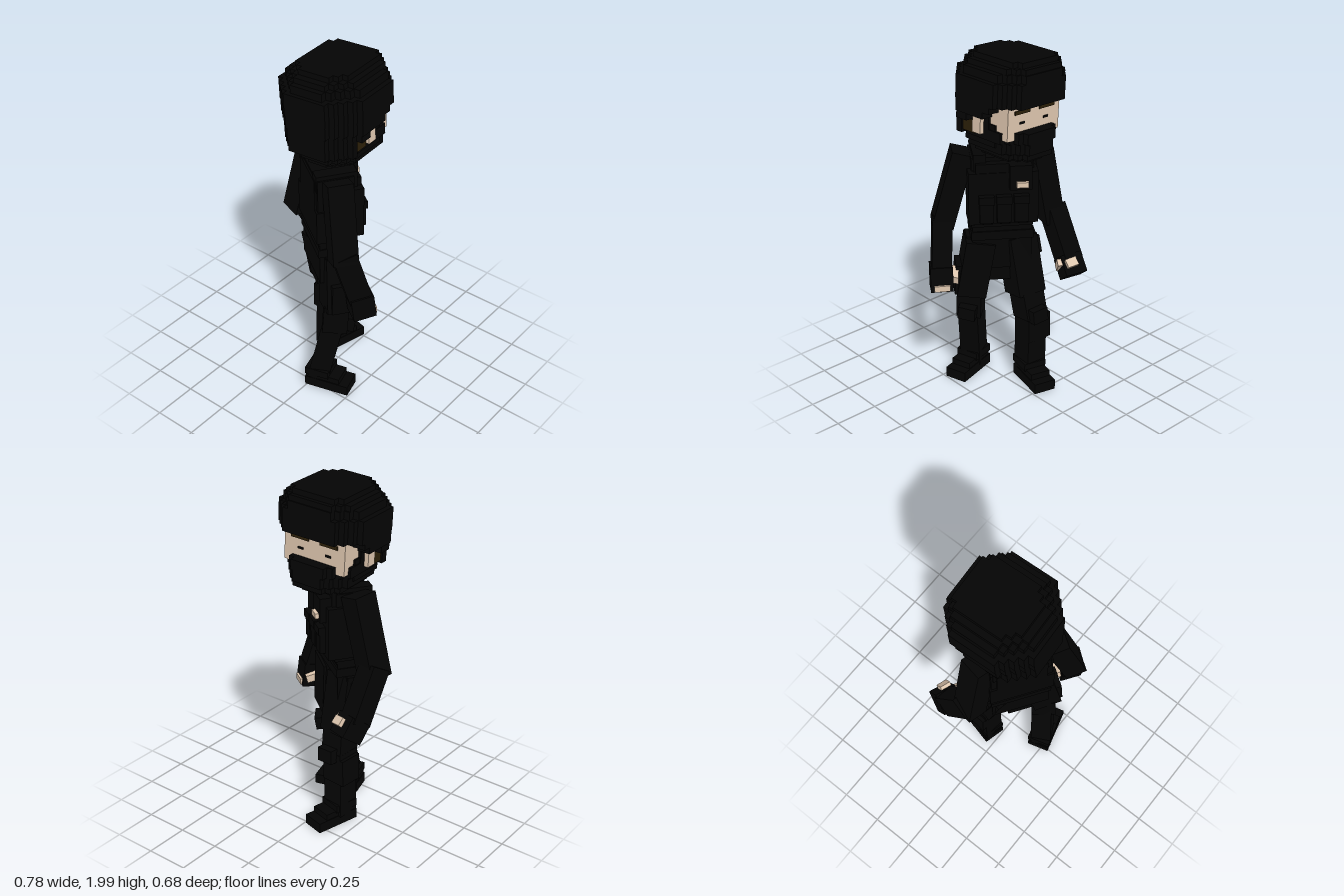
import * as THREE from 'three';

export function createModel() {
  const mat = (name, color) => Object.assign(new THREE.MeshStandardMaterial({ color }), { name });
  const black = mat('black cloth', 0x040404);
  const skin = mat('skin', 0xe0c8b0);
  const brown = mat('brown hair', 0x2c2008);
  const model = new THREE.Group();
  model.name = 'armouredGuard';

  const group = (name, x, z, yaw = 0) => {
    const g = new THREE.Group();
    g.name = name;
    g.position.set(x, 0, z);
    g.rotation.y = yaw;
    model.add(g);
    return g;
  };

  // box from its min and max corners
  const box = (parent, name, m, x0, x1, y0, y1, z0, z1) => {
    const mesh = new THREE.Mesh(new THREE.BoxGeometry(x1 - x0, y1 - y0, z1 - z0), m);
    mesh.position.set((x0 + x1) / 2, (y0 + y1) / 2, (z0 + z1) / 2);
    mesh.name = name;
    parent.add(mesh);
  };

  // horizontal layer whose plan has stair-stepped corners
  const slab = (parent, name, m, hw, z0, z1, y0, y1, front, back, s = 0.034) => {
    const right = [];
    for (let i = front; i >= 0; i--) {
      if (i < front) right.push([hw - (i + 1) * s, -(z0 + (front - i) * s)]);
      right.push([hw - i * s, -(z0 + (front - i) * s)]);
    }
    for (let i = 0; i <= back; i++) {
      right.push([hw - i * s, -(z1 - (back - i) * s)]);
      if (i < back) right.push([hw - (i + 1) * s, -(z1 - (back - i) * s)]);
    }
    const points = [...right, ...right.slice().reverse().map(([x, y]) => [-x, y])];
    const shape = new THREE.Shape(points.map(([x, y]) => new THREE.Vector2(x, y)));
    const mesh = new THREE.Mesh(
      new THREE.ExtrudeGeometry(shape, { depth: y1 - y0, bevelEnabled: false }), m);
    mesh.rotation.x = -Math.PI / 2;
    mesh.position.y = y0;
    mesh.name = name;
    parent.add(mesh);
  };

  // box limb running between two joints, turned about its length
  const limb = (name, a, b, w, d, yaw, m = black) => {
    const A = new THREE.Vector3(...a), B = new THREE.Vector3(...b);
    const y = A.clone().sub(B), len = y.length();
    y.normalize();
    const x = new THREE.Vector3(Math.cos(yaw), 0, -Math.sin(yaw));
    x.addScaledVector(y, -x.dot(y)).normalize();
    const z = x.clone().cross(y);
    const mesh = new THREE.Mesh(new THREE.BoxGeometry(w, len, d), m);
    mesh.quaternion.setFromRotationMatrix(new THREE.Matrix4().makeBasis(x, y, z));
    mesh.position.copy(A).add(B).multiplyScalar(0.5);
    mesh.name = name;
    model.add(mesh);
  };

  // head, tilted and turned slightly about the neck
  const head = group('head', -0.012, 0, 0.05);
  head.position.y = 1.45;
  head.rotation.z = 0.05;
  const h = new THREE.Group();
  h.name = 'headParts';
  h.position.y = -1.455;
  head.add(h);
  [ // half width, z front, z back, y bottom, y top, front steps, back steps
    [0.165, -0.23, 0.16, 1.965, 1.995, 1, 2],
    [0.2, -0.255, 0.2, 1.935, 1.965, 2, 3],
    [0.235, -0.262, 0.23, 1.89, 1.935, 3, 4],
    [0.265, -0.262, 0.252, 1.76, 1.89, 3, 4],
    [0.262, -0.13, 0.252, 1.725, 1.76, 0, 4],
    [0.262, -0.085, 0.252, 1.69, 1.725, 0, 4],
    [0.255, 0.04, 0.252, 1.65, 1.69, 0, 4],
    [0.22, 0.11, 0.252, 1.56, 1.65, 0, 3],
  ].forEach(([w, a, b, c, d, f, k]) => slab(h, 'helmet', black, w, a, b, c, d, f, k));
  [
    [0.205, -0.075, 0.19, 1.56, 1.7, 0, 3],
    [0.2, -0.12, 0.2, 1.53, 1.65, 0, 3],
    [0.19, -0.265, 0.19, 1.5, 1.58, 3, 3],
    [0.205, -0.265, 0.0, 1.56, 1.62, 3, 0],
    [0.16, -0.255, 0.17, 1.47, 1.5, 2, 3],
    [0.125, -0.22, 0.12, 1.445, 1.47, 2, 2],
  ].forEach(([w, a, b, c, d, f, k]) => slab(h, 'faceMask', black, w, a, b, c, d, f, k));
  box(h, 'face', skin, -0.19, 0.19, 1.58, 1.77, -0.2, 0.1);
  for (const s of [-1, 1]) {
    const side = (name, m, x0, x1, ...r) =>
      box(h, name, m, Math.min(s * x0, s * x1), Math.max(s * x0, s * x1), ...r);
    side('ear', skin, 0.18, 0.23, 1.59, 1.685, -0.04, 0.02);
    side('sideHair', brown, 0.18, 0.21, 1.575, 1.645, 0.02, 0.12);
    side('eyebrow', brown, 0.035, 0.145, 1.717, 1.737, -0.207, -0.199);
    side('eye', black, 0.07, 0.105, 1.66, 1.672, -0.204, -0.199);
  }

  // torso with vest, turned toward the left
  const YAW = -0.6;
  const torso = group('torso', -0.03, 0.06, YAW);
  box(torso, 'neck', skin, -0.09, 0.01, 1.38, 1.47, -0.095, 0.01);
  box(torso, 'chest', black, -0.17, 0.17, 1.0, 1.412, -0.1, 0.1);
  box(torso, 'waist', black, -0.165, 0.165, 0.74, 1.0, -0.09, 0.09);
  box(torso, 'crotch', black, -0.07, 0.07, 0.66, 0.76, -0.08, 0.08);
  box(torso, 'vestFront', black, -0.19, 0.19, 1.04, 1.34, -0.15, 0);
  box(torso, 'vestCollar', black, -0.15, 0.15, 1.34, 1.39, -0.145, -0.09);
  box(torso, 'vestBack', black, -0.14, 0.14, 1.04, 1.4, 0.09, 0.11);
  box(torso, 'vestSides', black, -0.18, 0.18, 1.02, 1.22, -0.11, 0.11);
  box(torso, 'belt', black, -0.172, 0.172, 0.92, 0.97, -0.1, 0.1);
  for (const x of [-0.095, 0, 0.095]) {
    box(torso, 'magazinePouch', black, x - 0.038, x + 0.038, 1.06, 1.2, -0.18, -0.14);
    box(torso, 'pouchFlap', black, x - 0.042, x + 0.042, 1.17, 1.215, -0.188, -0.14);
  }
  box(torso, 'chestPouch', black, -0.15, -0.03, 1.25, 1.39, -0.185, -0.14);
  box(torso, 'chestPatch', skin, -0.13, -0.065, 1.27, 1.3, -0.205, -0.18);
  for (const s of [-1, 1]) {
    box(torso, 'shoulderStrap', black, s * 0.125 - 0.035, s * 0.125 + 0.035, 1.34, 1.435, -0.12, 0.105);
    box(torso, 'hipPouch', black, s * 0.165 - 0.03, s * 0.165 + 0.03, 0.8, 0.92, -0.05, 0.06);
  }

  // left arm, swung back
  limb('leftUpperArm', [0.14, 1.42, 0.18], [0.235, 0.99, 0.25], 0.12, 0.14, YAW);
  limb('leftForearm', [0.232, 1.04, 0.25], [0.295, 0.75, 0.19], 0.11, 0.13, YAW);
  limb('leftGlove', [0.297, 0.775, 0.19], [0.307, 0.635, 0.175], 0.125, 0.13, YAW);
  limb('leftFingers', [0.3, 0.667, 0.107], [0.372, 0.665, 0.157], 0.04, 0.035, 0.97, skin);
  limb('leftThumb', [0.208, 0.725, 0.175], [0.275, 0.7, 0.1], 0.045, 0.045, YAW, skin);

  // right arm, reaching forward
  limb('rightUpperArm', [-0.205, 1.42, -0.05], [-0.315, 0.96, -0.04], 0.12, 0.14, YAW / 3);
  limb('rightForearm', [-0.32, 1.03, -0.05], [-0.31, 0.75, -0.21], 0.11, 0.13, YAW / 3);
  limb('rightGlove', [-0.305, 0.775, -0.2], [-0.29, 0.68, -0.27], 0.125, 0.13, -0.42);
  limb('rightFingers', [-0.26, 0.795, -0.265], [-0.255, 0.76, -0.3], 0.065, 0.025, -0.42, skin);
  limb('rightThumb', [-0.218, 0.775, -0.235], [-0.268, 0.7, -0.17], 0.035, 0.04, -0.42, skin);

  // left leg, turned outward
  limb('leftThigh', [0.08, 0.9, 0.11], [0.12, 0.565, 0.15], 0.165, 0.17, YAW);
  limb('leftKnee', [0.11, 0.59, 0.15], [0.105, 0.42, 0.165], 0.14, 0.14, YAW - 0.3);
  limb('leftShin', [0.105, 0.47, 0.16], [0.035, 0.06, 0.22], 0.12, 0.12, YAW - 0.5);
  limb('leftKneePad', [0.18, 0.5, 0.1], [0.175, 0.42, 0.115], 0.1, 0.05, YAW - 0.4);
  limb('leftThighPouch', [0.165, 0.76, 0.17], [0.17, 0.58, 0.18], 0.07, 0.13, YAW);

  // right leg, straight ahead
  limb('rightThigh', [-0.105, 0.9, 0.01], [-0.11, 0.565, -0.065], 0.17, 0.17, -0.2);
  limb('rightKnee', [-0.11, 0.59, -0.07], [-0.12, 0.42, -0.1], 0.14, 0.14, -0.1);
  limb('rightShin', [-0.125, 0.47, -0.1], [-0.125, 0.06, -0.09], 0.125, 0.13, -0.1);
  limb('rightKneePad', [-0.1, 0.5, -0.18], [-0.105, 0.42, -0.185], 0.1, 0.05, -0.1);
  limb('rightShinStrap', [-0.135, 0.44, -0.1], [-0.137, 0.28, -0.1], 0.15, 0.135, -0.1);
  limb('rightThighHolster', [-0.185, 0.88, -0.02], [-0.19, 0.78, -0.04], 0.06, 0.1, -0.2);

  // boots
  [['leftBoot', 0.04, 0.215, -1.3], ['rightBoot', -0.12, -0.09, -0.25]].forEach(([name, x, z, yaw]) => {
    const boot = group(name, x, z, yaw);
    box(boot, 'sole', black, -0.065, 0.065, 0.005, 0.065, -0.195, 0.07);
    box(boot, 'toeCap', black, -0.06, 0.06, 0.06, 0.1, -0.14, 0.065);
    box(boot, 'ankleCuff', black, -0.068, 0.068, 0.09, 0.135, -0.075, 0.068);
  });

  return model;
}
